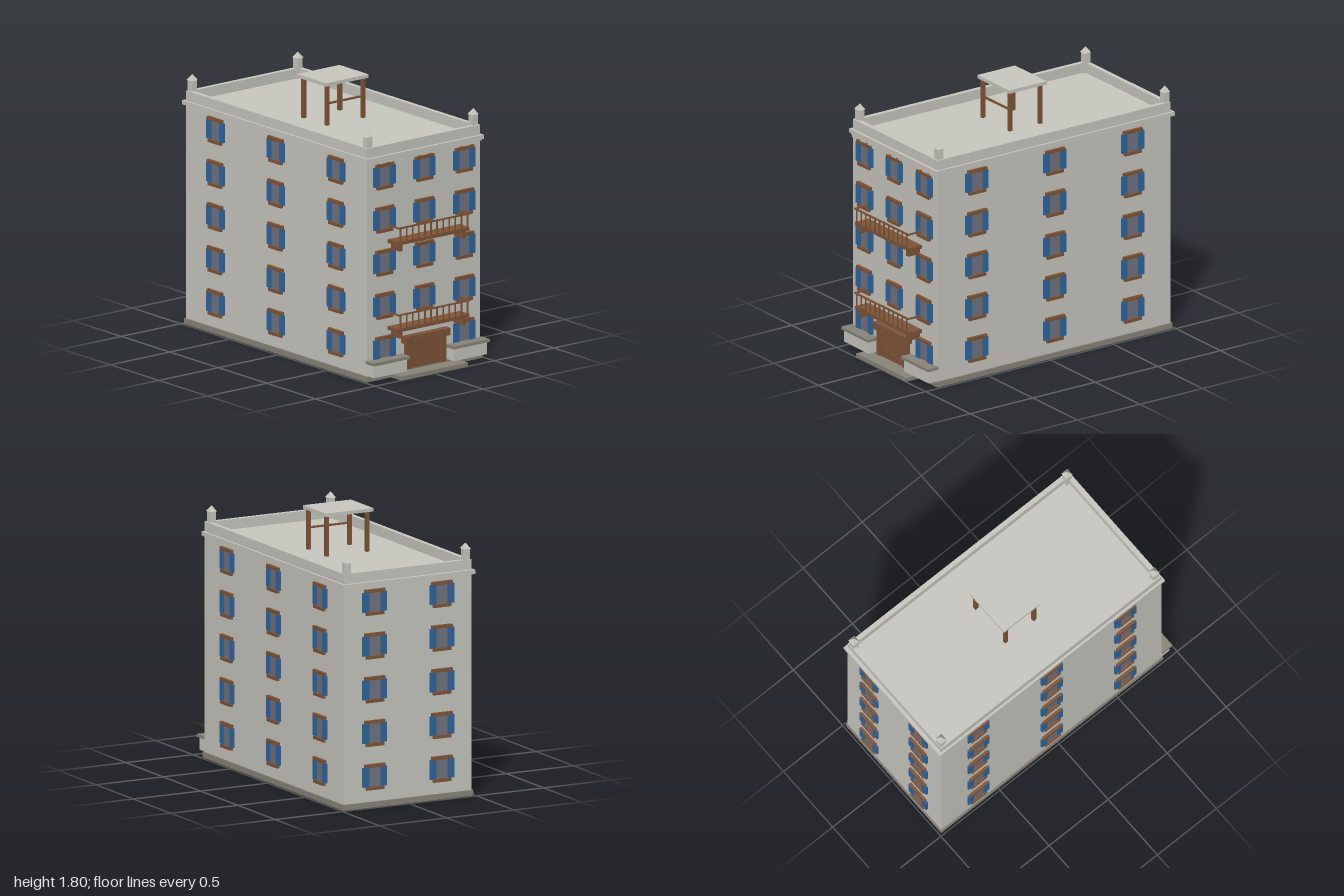
import * as THREE from 'three';

export function createModel() {
  const model = new THREE.Group();
  const mat = (name, color) => {
    const m = new THREE.MeshStandardMaterial({ color });
    m.name = name;
    return m;
  };
  const wall = mat('pale stone', 0xc8c7c0);
  const plinth = mat('dark stone', 0x88847a);
  const wood = mat('brown wood', 0x7f5438);
  const blue = mat('blue shutter', 0x2f659f);
  const glass = mat('grey glass', 0x70747f);

  // Box given by its minimum and maximum on each axis
  const box = (parent, name, material, x0, x1, y0, y1, z0, z1) => {
    const m = new THREE.Mesh(new THREE.BoxGeometry(x1 - x0, y1 - y0, z1 - z0), material);
    m.position.set((x0 + x1) / 2, (y0 + y1) / 2, (z0 + z1) / 2);
    m.name = name;
    parent.add(m);
    return m;
  };
  const group = (name, parent = model) => {
    const g = new THREE.Group();
    g.name = name;
    parent.add(g);
    return g;
  };

  const W = 0.475, FRONT = 0.887, BACK = -0.977, MID = (FRONT + BACK) / 2;

  // Main block, plinth and front step
  box(model, 'plinth', plinth, -0.485, 0.485, 0, 0.038, -0.985, 0.896);
  box(model, 'frontStep', plinth, -0.28, 0.28, 0, 0.026, 0.89, 1.0);
  box(model, 'building', wall, -W, W, 0.038, 1.48, BACK, FRONT);
  box(model, 'cornice', wall, -0.49, 0.49, 1.478, 1.506, -1.0, 0.905);

  // Parapet ring around the flat roof
  const parapet = group('parapet');
  const t = 0.032;
  box(parapet, 'parapetFront', wall, -W, W, 1.506, 1.573, FRONT - t, FRONT);
  box(parapet, 'parapetBack', wall, -W, W, 1.506, 1.573, BACK, BACK + t);
  for (const s of [-1, 1]) {
    const x = s * (W - t / 2);
    box(parapet, 'parapetSide', wall, x - t / 2, x + t / 2, 1.506, 1.573, BACK + t, FRONT - t);
  }

  // Corner posts with pyramid caps
  for (const x of [-0.443, 0.443]) for (const z of [-0.952, 0.853]) {
    const post = group('cornerPost');
    box(post, 'post', wall, x - 0.022, x + 0.022, 1.506, 1.644, z - 0.022, z + 0.022);
    const cap = new THREE.Mesh(
      new THREE.ConeGeometry(0.037, 0.04, 4, 1).rotateY(Math.PI / 4).toNonIndexed(), wall);
    cap.geometry.computeVertexNormals();
    cap.position.set(x, 1.664, z);
    cap.name = 'postCap';
    post.add(cap);
  }

  // Dentils under the front cornice
  const dentils = group('dentils');
  box(dentils, 'dentilBand', wall, -W, W, 1.47, 1.478, FRONT, 0.903);
  for (let i = 0; i < 11; i++) {
    const x = (i - 5) * 0.087;
    box(dentils, 'dentil', wall, x - 0.025, x + 0.025, 1.455, 1.47, FRONT, 0.903);
  }

  // Shuttered window facing +z, centred on the wall surface
  const addWindow = (x, y, z, turn) => {
    const w = group('window');
    box(w, 'pane', glass, -0.044, 0.044, -0.065, 0.065, 0, 0.005);
    for (const s of [-1, 1])
      box(w, 'shutter', blue, s * 0.0665 - 0.0225, s * 0.0665 + 0.0225, -0.065, 0.065, 0, 0.014);
    box(w, 'lintel', wood, -0.075, 0.075, 0.064, 0.086, 0, 0.02);
    box(w, 'sill', wood, -0.066, 0.066, -0.086, -0.065, 0, 0.02);
    w.position.set(x, y, z);
    w.rotation.y = turn;
  };
  for (let row = 0; row < 5; row++) {
    const y = 0.204 + row * 0.291;
    for (const c of [-1, 0, 1]) {
      if (row > 0 || c !== 0) addWindow(c * 0.334, y, FRONT, 0);
      for (const s of [-1, 1]) addWindow(s * W, y, MID + c * 0.622, s * Math.PI / 2);
    }
    for (const s of [-1, 1]) addWindow(s * 0.25, y, BACK, Math.PI);
  }

  // Balconies with railings and brackets
  for (const y of [0.324, 0.91]) {
    const b = group('balcony');
    box(b, 'balconyFloor', wood, -0.303, 0.303, y, y + 0.023, FRONT, 0.99);
    box(b, 'topRail', wood, -0.303, 0.303, y + 0.112, y + 0.122, 0.989, 1.0);
    for (const s of [-1, 1]) {
      box(b, 'sideRail', wood, s * 0.296 - 0.005, s * 0.296 + 0.005, y + 0.112, y + 0.122, FRONT, 0.989);
      box(b, 'bracket', wood, s * 0.264 - 0.012, s * 0.264 + 0.012, y - 0.046, y, FRONT, 0.98);
    }
    for (let i = 0; i < 12; i++) {
      const x = (i - 5.5) * 0.0511;
      box(b, 'baluster', wood, x - 0.004, x + 0.004, y + 0.01, y + 0.112, 0.99, 0.998);
    }
  }

  // Entrance door with studs
  const door = group('door');
  for (const s of [-1, 1])
    box(door, 'doorJamb', wood, s * 0.144 - 0.021, s * 0.144 + 0.021, 0.038, 0.214, FRONT, 0.92);
  box(door, 'doorPanel', wood, -0.124, 0.124, 0.038, 0.214, FRONT, 0.91);
  box(door, 'doorHeader', wood, -0.188, 0.188, 0.214, 0.262, FRONT, 0.935);
  const stud = (x, y, z) =>
    box(door, 'stud', wood, x - 0.01, x + 0.01, y - 0.01, y + 0.01, z, z + 0.006);
  for (let i = -2; i <= 2; i++) stud(i * 0.052, 0.238, 0.935);
  for (let i = -1; i <= 1; i++) for (let j = -1; j <= 1; j++) stud(i * 0.069, 0.128 + j * 0.052, 0.91);

  // Low walls on both sides of the door
  for (const s of [-1, 1]) {
    const g = group('lowWall');
    const xb = s * 0.336, xc = s * 0.335;
    box(g, 'lowWallBody', wall, xb - 0.139, xb + 0.139, 0.04, 0.124, FRONT, 0.958);
    box(g, 'lowWallCap', plinth, xc - 0.152, xc + 0.152, 0.124, 0.143, FRONT, 0.972);
  }

  // Raised platform on the roof
  const canopy = group('roofCanopy');
  box(canopy, 'canopyTop', wall, -0.178, 0.178, 1.775, 1.798, -0.198, 0.102);
  for (const x of [-0.151, 0.151]) for (const z of [-0.163, 0.077])
    box(canopy, 'canopyLeg', wood, x - 0.012, x + 0.012, 1.506, 1.775, z - 0.012, z + 0.012);
  box(canopy, 'canopyBrace', wood, -0.139, 0.139, 1.646, 1.658, 0.071, 0.083);

  return model;
}
